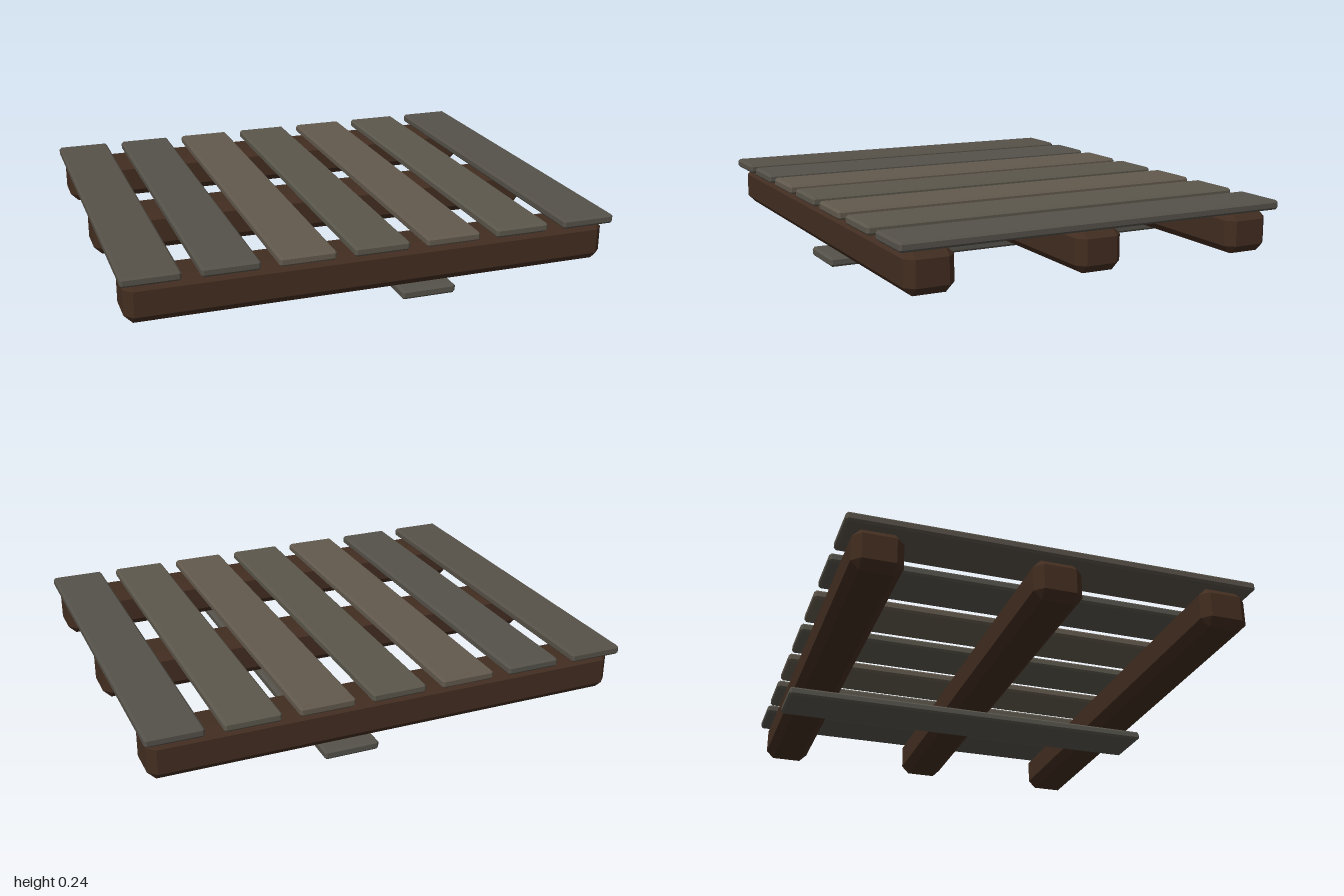
import * as THREE from 'three';
import { ConvexGeometry } from 'three/addons/geometries/ConvexGeometry.js';

// Box with every edge cut by a flat chamfer c
function chamferBox(w, h, d, c) {
  const points = [];
  const half = [w / 2, h / 2, d / 2];
  for (const sx of [-1, 1]) for (const sy of [-1, 1]) for (const sz of [-1, 1]) {
    const sign = [sx, sy, sz];
    for (let face = 0; face < 3; face++) {
      const p = half.map((e, axis) => sign[axis] * (axis === face ? e : e - c));
      points.push(new THREE.Vector3(...p));
    }
  }
  return new ConvexGeometry(points);
}

export function createModel() {
  const pallet = new THREE.Group();
  pallet.name = 'pallet';

  const paint = (color) => new THREE.MeshStandardMaterial({ color, flatShading: true });
  const add = (name, geometry, material, x, y, z) => {
    const mesh = new THREE.Mesh(geometry, material);
    mesh.name = name;
    mesh.position.set(x, y, z);
    pallet.add(mesh);
  };

  const slat = chamferBox(0.225, 0.038, 1.635, 0.009);
  const beam = chamferBox(1.966, 0.168, 0.195, 0.033);

  // Seven deck slats with weathered tones
  const tones = [0x565148, 0x55524a, 0x62594d, 0x5a564b, 0x62594d, 0x5b574c, 0x55514a];
  tones.forEach((tone, i) => {
    add(`deckSlat${i + 1}`, slat, paint(tone), (i - 3) * 0.2958, 0.225, 0);
  });

  // Three supporting beams running from side to side
  const darkWood = paint(0x422d20);
  [-0.688, 0, 0.688].forEach((z, i) => {
    add(`beam${i + 1}`, beam, darkWood, 0, 0.122, z);
  });

  // Single slat under the beams, off centre
  add('bottomSlat', slat, paint(0x55524a), 0.197, 0.019, 0);

  return pallet;
}
